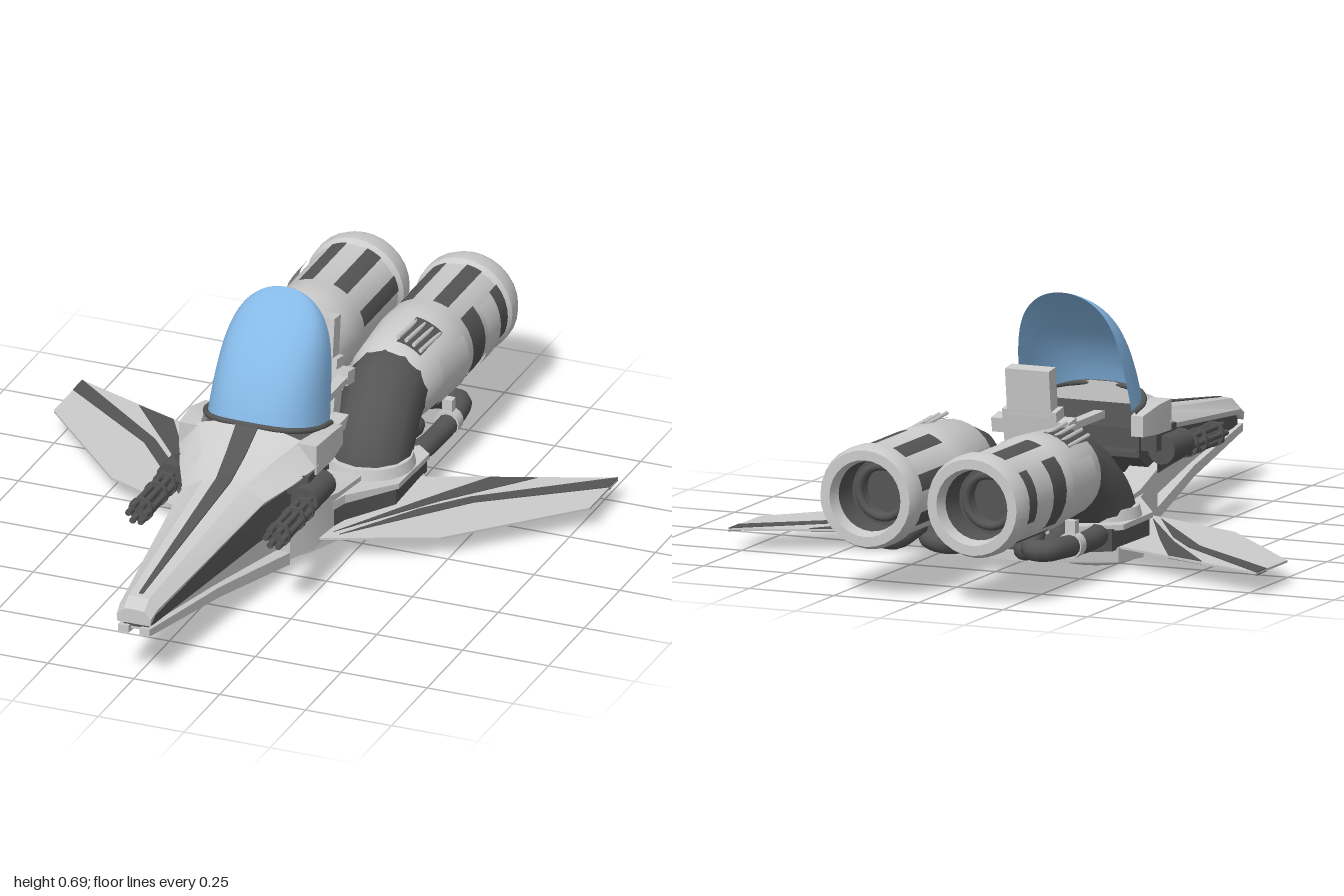
import * as THREE from 'three';
import { toCreasedNormals } from 'three/addons/utils/BufferGeometryUtils.js';

const mat = (color, side = THREE.FrontSide, flatShading = false) =>
  new THREE.MeshStandardMaterial({ color, side, flatShading });
const light = mat(0xcccccc);
const dark = mat(0x555555);
const glass = mat(0x85b8e6, THREE.DoubleSide);
const V = (x, y, z) => new THREE.Vector3(x, y, z);

function add(parent, name, geo, material, pos = [0, 0, 0], rot = [0, 0, 0]) {
  const m = new THREE.Mesh(geo, material);
  m.name = name;
  m.position.set(...pos);
  m.rotation.set(...rot);
  parent.add(m);
  return m;
}
const box = (p, name, size, pos, material, rot) =>
  add(p, name, new THREE.BoxGeometry(...size), material, pos, rot);

// Skin cross-sections {z, pts} (counter-clockwise seen from +z, front to back), capped at the ends
function loft(sections) {
  const pos = [], idx = [], n = sections[0].pts.length;
  sections.forEach(s => s.pts.forEach(([x, y]) => pos.push(x, y, s.z)));
  for (let k = 0; k < sections.length - 1; k++)
    for (let i = 0; i < n; i++) {
      const a = k * n + i, a2 = k * n + (i + 1) % n;
      idx.push(a, a + n, a2, a2, a + n, a2 + n);
    }
  const e = (sections.length - 1) * n;
  for (let i = 1; i < n - 1; i++) idx.push(0, i, i + 1, e, e + i + 1, e + i);
  const g = new THREE.BufferGeometry();
  g.setAttribute('position', new THREE.Float32BufferAttribute(pos, 3));
  g.setIndex(idx);
  return toCreasedNormals(g, 0.35);
}
// Box-section loft from rows of [z, x0, x1, y0, y1]
const beam = rows => loft(rows.map(([z, x0, x1, y0, y1]) =>
  ({ z, pts: [[x1, y0], [x1, y1], [x0, y1], [x0, y0]] })));
const slab = rows => beam(rows.map(([z, w, y0, y1]) => [z, -w, w, y0, y1]));

// Horizontal plate from [x, z] corners
function plate(corners, y, depth) {
  const s = new THREE.Shape(corners.map(([x, z]) => new THREE.Vector2(x, -z)));
  return new THREE.ExtrudeGeometry(s, { depth, bevelEnabled: false }).rotateX(-Math.PI / 2).translate(0, y, 0);
}
// Turned profile of [radius, distance towards the back]
const turned = pts => toCreasedNormals(
  new THREE.LatheGeometry(pts.map(p => new THREE.Vector2(...p)), 28).rotateX(-Math.PI / 2), 0.5);
const rod = (r, len, seg = 12) => new THREE.CylinderGeometry(r, r, len, seg).rotateX(Math.PI / 2);
const pipe = (pts, r, seg = 28) =>
  new THREE.TubeGeometry(new THREE.CatmullRomCurve3(pts.map(p => V(...p))), seg, r, 12);

// Mirrored copy of a group across x = 0, with winding corrected
function mirror(group, name) {
  const out = new THREE.Group();
  out.name = name;
  group.updateMatrixWorld(true);
  group.traverse(o => {
    if (!o.isMesh) return;
    const g = o.geometry.index ? o.geometry.toNonIndexed() : o.geometry.clone();
    g.applyMatrix4(o.matrixWorld);
    for (const key of ['position', 'normal']) {
      const a = g.attributes[key], t = V(0, 0, 0), u = V(0, 0, 0);
      for (let i = 0; i < a.count; i += 3) {
        t.fromBufferAttribute(a, i + 1);
        u.fromBufferAttribute(a, i + 2);
        a.setX(i, -a.getX(i));
        a.setXYZ(i + 1, -u.x, u.y, u.z);
        a.setXYZ(i + 2, -t.x, t.y, t.z);
      }
    }
    add(out, o.name, g, o.material);
  });
  return out;
}

function buildEngine(side) {
  const e = new THREE.Group();
  e.name = 'engine';
  e.position.set(0.158, 0.272, 0);
  side.add(e);
  add(e, 'engineBody', turned([[0, 0.4], [0.105, 0.4], [0.122, 0.43], [0.134, 0.6], [0.134, 0.66],
    [0.131, 0.67], [0.131, 0.92], [0.142, 0.935], [0.142, 0.975], [0.132, 1], [0.105, 1], [0.096, 0.96]]), light);
  add(e, 'exhaust', turned([[0.096, 0.96], [0.092, 0.88], [0.07, 0.88], [0.065, 0.84], [0, 0.84]]), dark);
  add(e, 'exhaustRing', new THREE.TorusGeometry(0.07, 0.012, 8, 28), dark, [0, 0, -0.885]);
  // curved panels round the barrel; angle 0 is up, positive is outboard
  const panel = (name, r, r2, a, w, z0, z1, m) => add(e, name, new THREE.CylinderGeometry(
    r2, r, z0 - z1, 6, 1, true, a - w / 2, w).rotateX(-Math.PI / 2), m, [0, 0, (z0 + z1) / 2]);
  for (let i = 0; i < 8; i++) {
    const a = (i + 0.5) * Math.PI / 4 - 0.1;
    if (i === 1 || i === 2) continue;
    panel('sidePanel', 0.134, 0.134, a, 0.34, -0.68, -0.92, dark);
  }
  panel('outerPanel', 0.135, 0.135, 1.55, 1.5, -0.68, -0.765, dark);
  panel('outerCollar', 0.14, 0.14, 1.55, 1.3, -0.775, -0.86, mat(0xcccccc, THREE.DoubleSide));
  panel('outerSlot', 0.135, 0.135, 1.4, 1.1, -0.87, -0.92, dark);
  // front grille with bars, and the side hatch
  panel('grille', 0.125, 0.135, 0.42, 0.62, -0.43, -0.57, dark);
  for (const a of [0.14, 0.32, 0.5, 0.68]) {
    const bar = rod(0.006, 0.14, 6);
    add(e, 'grilleBar', bar, light, [Math.sin(a) * 0.133, Math.cos(a) * 0.133, -0.5], [-0.07, 0, 0]);
  }
  panel('hatch', 0.132, 0.139, 1.6, 1.1, -0.48, -0.64, light);
}

function buildSide() {
  const s = new THREE.Group();
  s.name = 'leftSide';
  buildEngine(s);
  // intake elbow from the deck into the engine
  add(s, 'intakeElbow', pipe([[0.175, 0.08, -0.235], [0.175, 0.14, -0.245], [0.17, 0.21, -0.3],
    [0.16, 0.26, -0.38], [0.158, 0.272, -0.45]], 0.112), dark);
  add(s, 'elbowCollar', new THREE.CylinderGeometry(0.118, 0.125, 0.03, 28), light, [0.175, 0.14, -0.235]);
  // lift fan under the hull
  add(s, 'fanRing', new THREE.TorusGeometry(0.092, 0.018, 8, 32).rotateX(Math.PI / 2), light, [0.17, 0.018, -0.22]);
  add(s, 'fanDisc', new THREE.CylinderGeometry(0.085, 0.085, 0.03, 28), dark, [0.17, 0.025, -0.22]);
  add(s, 'fanHub', new THREE.SphereGeometry(0.035, 16, 8).scale(1, 0.4, 1), dark, [0.17, 0.014, -0.22]);
  // coolant pipes and clamp
  add(s, 'outerPipe', pipe([[0.18, 0.08, -0.34], [0.25, 0.1, -0.39], [0.262, 0.1, -0.5], [0.262, 0.11, -0.64],
    [0.245, 0.11, -0.7], [0.2, 0.11, -0.7], [0.17, 0.14, -0.62]], 0.03), dark);
  add(s, 'innerPipe', pipe([[0.09, 0.06, -0.36], [0.09, 0.07, -0.48], [0.12, 0.08, -0.57],
    [0.17, 0.09, -0.56], [0.18, 0.11, -0.48], [0.16, 0.16, -0.46]], 0.028), dark);
  add(s, 'pipeClamp', rod(0.036, 0.035, 16), light, [0.262, 0.107, -0.58]);
  box(s, 'clampStrut', [0.03, 0.09, 0.025], [0.262, 0.13, -0.58], light);
  // wing with painted stripes
  add(s, 'wing', plate([[0.12, 0.15], [0.2, 0.12], [0.48, 0], [0.78, -0.32], [0.78, -0.52], [0.3, -0.33], [0.12, -0.3]], 0.055, 0.006), light);
  add(s, 'wingStripe', plate([[0.78, -0.52], [0.78, -0.455], [0.48, -0.23], [0.22, 0.09], [0.36, -0.14], [0.46, -0.26]], 0.053, 0.01), dark);
  add(s, 'wingStripe', plate([[0.58, -0.435], [0.46, -0.39], [0.35, -0.2], [0.2, 0.08], [0.39, -0.2]], 0.053, 0.01), dark);
  // rotary gun
  const gun = new THREE.Group();
  gun.name = 'gun';
  gun.position.set(0.2, 0.228, 0);
  s.add(gun);
  for (let i = 0; i < 6; i++) {
    const a = i * Math.PI / 3;
    add(gun, 'barrel', rod(0.009, 0.24, 8), dark, [Math.cos(a) * 0.024, Math.sin(a) * 0.024, 0.38]);
  }
  for (const z of [0.3, 0.36, 0.465]) add(gun, 'barrelRing', rod(0.035, 0.012, 18), dark, [0, 0, z]);
  add(gun, 'gunCore', rod(0.014, 0.2), dark, [0, 0, 0.36]);
  add(gun, 'gunHousing', rod(0.04, 0.13, 16), dark, [-0.005, 0.01, 0.21]);
  box(gun, 'gunMount', [0.09, 0.06, 0.13], [-0.05, 0.04, 0.18], dark);
  // cockpit sill, hull cheek and lower nose rail
  add(s, 'cockpitSill', beam([[0.2, 0.14, 0.2, 0.285, 0.37], [0.1, 0.165, 0.208, 0.29, 0.37], [0.015, 0.165, 0.2, 0.295, 0.352]]), light);
  add(s, 'hullCheek', beam([[0.24, 0.07, 0.14, 0.04, 0.19], [0.16, 0.09, 0.175, 0.04, 0.18],
    [0.02, 0.11, 0.19, 0.05, 0.15], [-0.12, 0.09, 0.2, 0.05, 0.14]]), light);
  add(s, 'noseRail', beam([[1, 0.016, 0.046, 0.134, 0.155], [0.6, 0.03, 0.085, 0.08, 0.11], [0.24, 0.05, 0.14, 0.025, 0.06]]), light);
  // arm rests and controls
  box(s, 'armRest', [0.03, 0.02, 0.18], [0.1, 0.362, -0.135], light);
  box(s, 'sideConsole', [0.045, 0.03, 0.16], [0.1, 0.25, -0.135], light);
  return s;
}

function buildCanopy() {
  // raised half-shell: rows climb from the sill, columns sweep side-front-side
  const g = new THREE.PlaneGeometry(1, 1, 28, 24), p = g.attributes.position;
  const front = new THREE.QuadraticBezierCurve(
    new THREE.Vector2(0.2, 0.4), new THREE.Vector2(0.15, 0.58), new THREE.Vector2(-0.07, 0.69));
  for (let i = 0; i < p.count; i++) {
    const t = 1 - (0.5 - p.getY(i)) ** 2, a = (p.getX(i) + 0.5) * Math.PI;
    const w = (0.165 - 0.025 * t) * Math.sqrt(Math.max(0, 1 - t ** 5));
    const c = Math.cos(a), k = Math.max(0, Math.sin(a)) ** 0.8, f = front.getPoint(t);
    p.setXYZ(i, Math.sign(c) * Math.abs(c) ** 0.8 * w,
      THREE.MathUtils.lerp(0.36 + 0.33 * t, f.y, k), THREE.MathUtils.lerp(0.02 - 0.09 * t, f.x, k));
  }
  g.computeVertexNormals();
  return g;
}

export function createModel() {
  const model = new THREE.Group();
  model.name = 'fighterCraft';

  // upper nose shell: half-profiles from lower edge up to the ridge, mirrored
  const shell = [
    [1, [[0.048, 0.165], [0.05, 0.185], [0.03, 0.205], [0.012, 0.207]]],
    [0.965, [[0.05, 0.185], [0.055, 0.2], [0.03, 0.228], [0.012, 0.23]]],
    [0.37, [[0.11, 0.25], [0.12, 0.265], [0.06, 0.3], [0.025, 0.308]]],
    [0.28, [[0.15, 0.27], [0.165, 0.285], [0.1, 0.335], [0.03, 0.35]]],
    [0.19, [[0.19, 0.285], [0.203, 0.31], [0.15, 0.375], [0.035, 0.405]]],
  ];
  add(model, 'noseShell', loft(shell.map(([z, h]) =>
    ({ z, pts: [...h, ...h.map(([x, y]) => [-x, y]).reverse()] }))), light);
  add(model, 'noseStripe', slab([[0.95, 0.006, 0.2, 0.234], [0.37, 0.022, 0.28, 0.312],
    [0.28, 0.028, 0.32, 0.354], [0.2, 0.032, 0.37, 0.404]]), dark);
  add(model, 'noseCore', slab([[0.985, 0.036, 0.15, 0.19], [0.37, 0.1, 0.14, 0.265],
    [0.24, 0.135, 0.15, 0.29], [0.1, 0.15, 0.22, 0.3]]), dark);
  add(model, 'noseProbe', rod(0.016, 0.06, 8), dark, [0, 0.172, 0.968]);

  // layered hull: keel, dark band, deck
  add(model, 'keel', slab([[0.98, 0.03, 0.14, 0.158], [0.24, 0.1, 0.035, 0.15], [0.16, 0.16, 0.025, 0.06],
    [0, 0.21, 0.015, 0.06], [-0.2, 0.3, 0.012, 0.06], [-0.34, 0.29, 0.02, 0.06], [-0.5, 0.12, 0.035, 0.06]]), light);
  add(model, 'hullBand', slab([[0.18, 0.15, 0.055, 0.115], [0, 0.2, 0.055, 0.115], [-0.14, 0.29, 0.055, 0.115],
    [-0.37, 0.285, 0.055, 0.115], [-0.48, 0.12, 0.055, 0.115]]), dark);
  add(model, 'deck', slab([[0.16, 0.16, 0.11, 0.14], [0, 0.2, 0.11, 0.135], [-0.14, 0.3, 0.11, 0.125],
    [-0.34, 0.305, 0.11, 0.125], [-0.38, 0.26, 0.11, 0.125], [-0.52, 0.1, 0.11, 0.13]]), light);
  box(model, 'rearBlock', [0.12, 0.12, 0.14], [0, 0.16, -0.36], dark);
  box(model, 'cockpitFloor', [0.2, 0.02, 0.3], [0, 0.14, 0.02], dark);
  box(model, 'dashboard', [0.29, 0.13, 0.08], [0, 0.29, 0.15], dark, [0.2, 0, 0]);

  // canopy and its sill trim
  add(model, 'canopy', buildCanopy(), glass);
  add(model, 'canopyTrim', pipe([[-0.168, 0.356, 0.02], [-0.163, 0.372, 0.1], [-0.115, 0.39, 0.175], [0, 0.398, 0.2],
    [0.115, 0.39, 0.175], [0.163, 0.372, 0.1], [0.168, 0.356, 0.02]], 0.008), dark);

  // seat
  const seat = new THREE.Group();
  seat.name = 'seat';
  model.add(seat);
  box(seat, 'seatBase', [0.16, 0.06, 0.18], [0, 0.165, -0.14], light);
  box(seat, 'seatCushion', [0.13, 0.02, 0.15], [0, 0.2, -0.13], dark);
  box(seat, 'seatBack', [0.16, 0.28, 0.05], [0, 0.27, -0.235], light, [-0.18, 0, 0]);
  box(seat, 'backPad', [0.12, 0.23, 0.02], [0, 0.28, -0.203], dark, [-0.18, 0, 0]);
  box(seat, 'headRest', [0.13, 0.13, 0.045], [0, 0.455, -0.268], light, [-0.12, 0, 0]);
  box(seat, 'headPad', [0.09, 0.08, 0.015], [0, 0.45, -0.243], dark, [-0.12, 0, 0]);
  box(seat, 'shoulderFrame', [0.23, 0.04, 0.05], [0, 0.36, -0.25], light, [-0.18, 0, 0]);

  const left = buildSide();
  model.add(left, mirror(left, 'rightSide'));
  return model;
}
